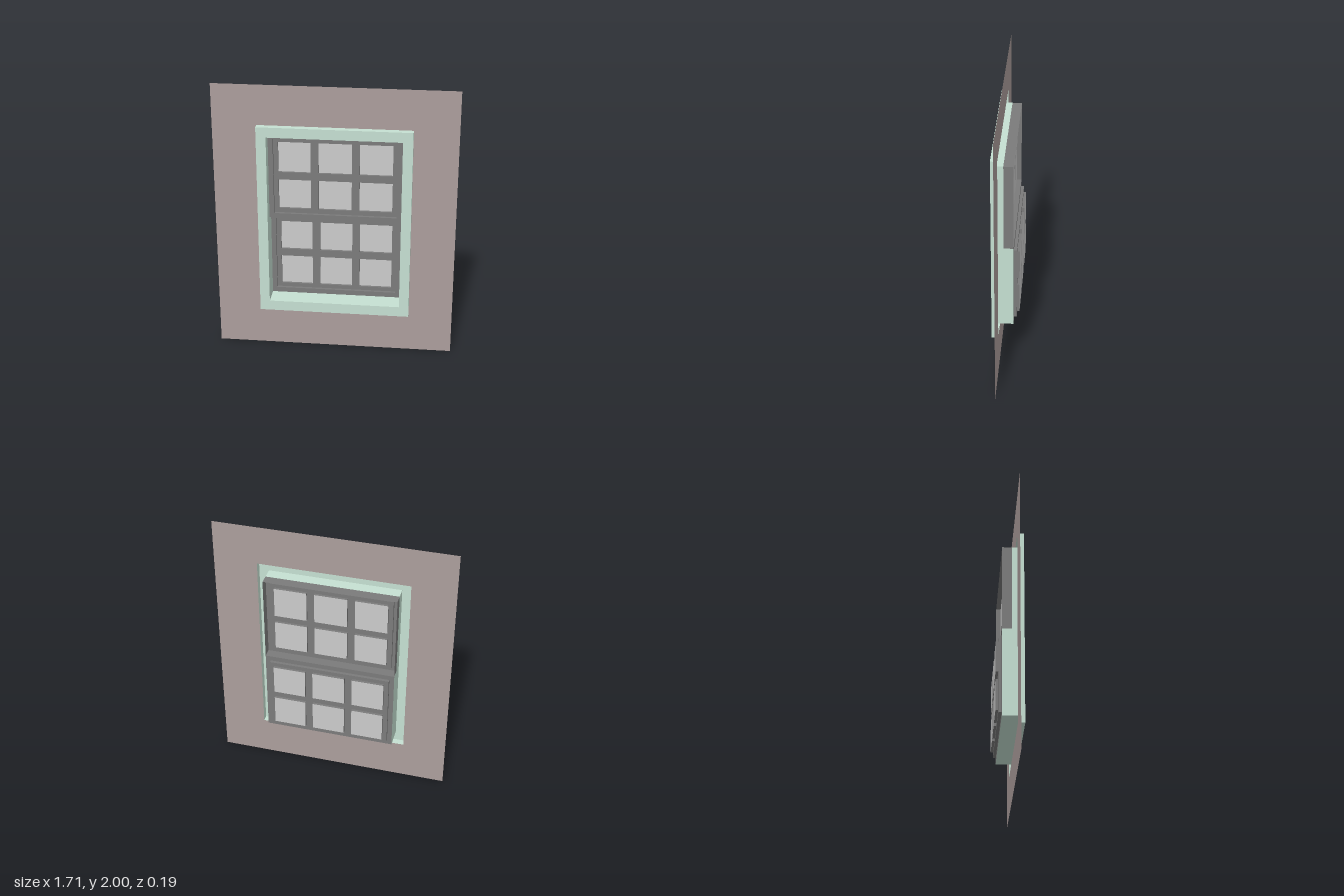
import * as THREE from 'three';
import { mergeGeometries } from 'three/addons/utils/BufferGeometryUtils.js';

const paint = (color) => new THREE.MeshStandardMaterial({ color, side: THREE.DoubleSide });
const rect = (x0, x1, y0, y1) => ({ x0, x1, y0, y1 });
const corners = (r) => [[r.x0, r.y0], [r.x1, r.y0], [r.x1, r.y1], [r.x0, r.y1]]
  .map(([x, y]) => new THREE.Vector2(x, y));

// Flat sheet facing +z with rectangular openings
function sheet(outer, holes, z) {
  const shape = new THREE.Shape(corners(outer));
  for (const h of holes) shape.holes.push(new THREE.Path(corners(h).reverse()));
  return new THREE.ShapeGeometry(shape).translate(0, 0, z);
}

// Thin walls around a rectangle, running from zFront to zBack (outward normals)
// Sides are numbered bottom, right, top, left
function sides(r, zFront, zBack, which = [0, 1, 2, 3]) {
  const c = corners(r);
  return mergeGeometries(which.map((i) => {
    const a = c[i], b = c[(i + 1) % 4];
    const g = new THREE.PlaneGeometry(a.distanceTo(b), zFront - zBack);
    g.rotateX(Math.PI / 2);
    g.rotateZ(Math.atan2(b.y - a.y, b.x - a.x));
    return g.translate((a.x + b.x) / 2, (a.y + b.y) / 2, (zFront + zBack) / 2);
  }));
}

export function createModel() {
  const model = new THREE.Group();
  model.name = 'sashWindow';
  const wallMat = paint(0xac9e9c), trimMat = paint(0xc5e0d2);
  const sashMat = paint(0x7b7b7b), paneMat = paint(0xcccccc);

  const add = (parent, name, geometries, material) => {
    const mesh = new THREE.Mesh(mergeGeometries(geometries), material);
    mesh.name = name;
    parent.add(mesh);
  };

  const zTrim = 0.094, zWall = 0.047, zUpper = 0.013, zLower = -0.055;
  const trimOuter = rect(-0.542, 0.542, 0.295, 1.71);
  const opening = rect(-0.472, 0.472, 0.37, 1.637);
  const lowerArea = { ...opening, y1: 1.003 };
  const upperArea = { ...opening, y0: 1.003 };

  // Wall sheet with the window opening
  add(model, 'wall', [sheet(rect(-0.855, 0.855, 0, 2), [trimOuter], zWall)], wallMat);

  // Casing raised from the wall, hollow at the back
  add(model, 'trim', [
    sheet(trimOuter, [opening], zTrim),
    sides(trimOuter, zTrim, zWall),
  ], trimMat);

  // Reveal, deeper around the lower sash
  add(model, 'jamb', [
    sides(opening, zTrim, zUpper),
    sides(lowerArea, zUpper, zLower, [0, 1, 3]),
  ], trimMat);

  // Pocket and meeting rail that step the upper sash forward
  add(model, 'upperSashPocket', [sides(upperArea, zUpper, zLower)], sashMat);

  // A sash: border, recessed grid of bars, and panes set deeper again
  const columns = [[-0.405, -0.175], [-0.12, 0.115], [0.17, 0.403]];
  function addSash(name, area, inner, rows, z) {
    const sash = new THREE.Group();
    sash.name = name;
    model.add(sash);
    const zBars = z - 0.021, zPane = z - 0.039;
    const panes = rows.flatMap(([y0, y1]) => columns.map(([x0, x1]) => rect(x0, x1, y0, y1)));
    add(sash, 'sashFrame', [sheet(area, [inner], z), sides(inner, z, zBars)], sashMat);
    add(sash, 'glazingBars', [
      sheet(inner, panes, zBars),
      ...panes.map((p) => sides(p, zBars, zPane)),
    ], sashMat);
    add(sash, 'panes', panes.map((p) => sheet(p, [], zPane)), paneMat);
  }
  addSash('upperSash', upperArea, rect(-0.438, 0.435, 1.037, 1.6),
    [[1.07, 1.29], [1.345, 1.572]], zUpper);
  addSash('lowerSash', lowerArea, rect(-0.438, 0.435, 0.407, 0.967),
    [[0.435, 0.66], [0.715, 0.937]], zLower);

  return model;
}
